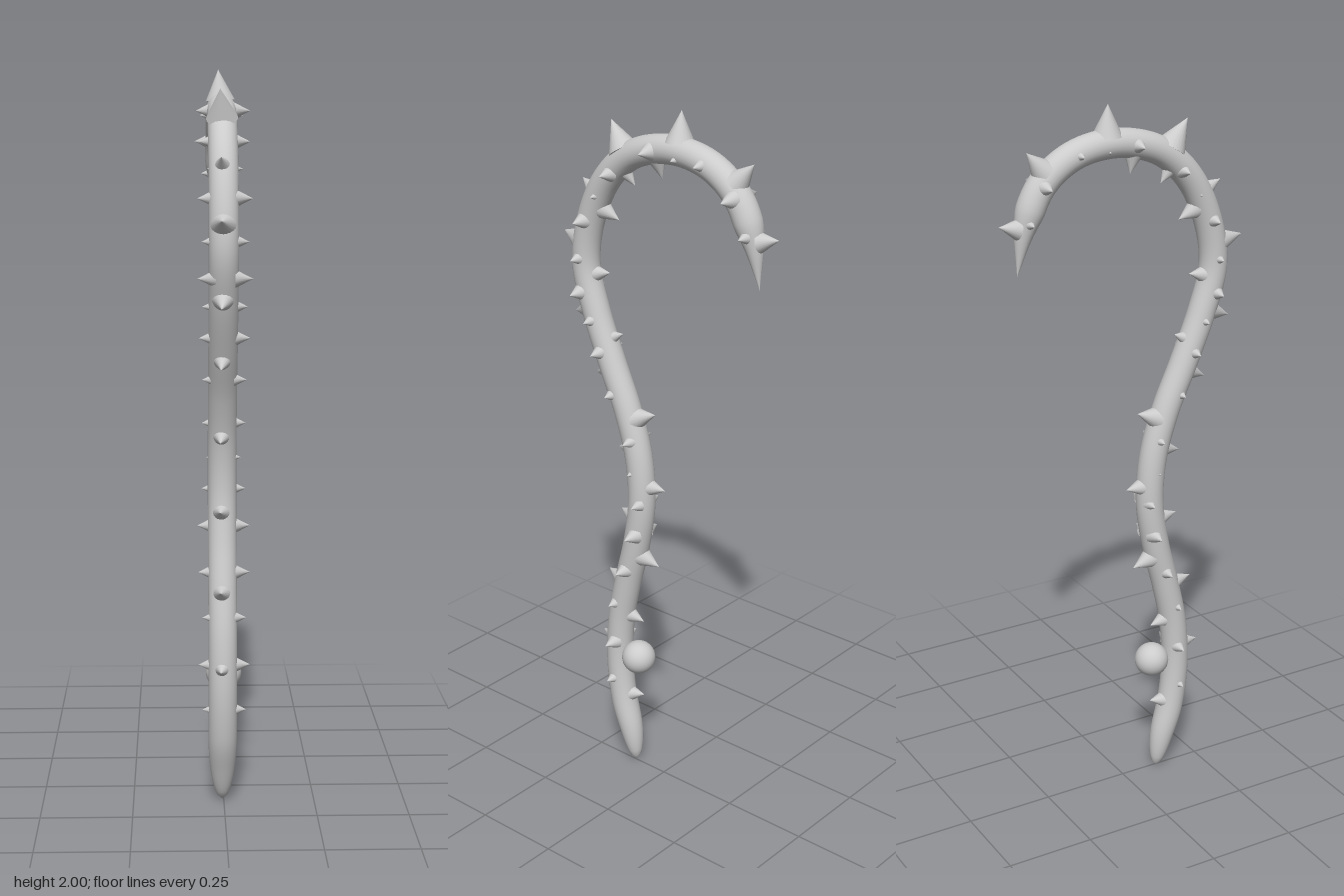
import * as THREE from 'three';
import { mergeVertices } from 'three/addons/utils/BufferGeometryUtils.js';

const R = 0.039; // stem radius
const CX = -0.004; // stem lies in the plane x = CX

// stem centreline as [z, y]
const PATH = [
  [0.11, 0], [0.13, 0.1], [0.158, 0.2], [0.173, 0.33], [0.165, 0.47], [0.138, 0.6], [0.105, 0.73],
  [0.085, 0.865], [0.095, 1.0], [0.133, 1.13], [0.19, 1.26], [0.247, 1.4], [0.281, 1.53],
  [0.26, 1.66], [0.2, 1.78], [0.11, 1.86], [-0.02, 1.895], [-0.15, 1.875], [-0.24, 1.81],
  [-0.288, 1.71], [-0.315, 1.58],
];

// tips of the thorns lying in the plane of the crook, as [z, y]
const PLANE_TIPS = [
  // outer side
  [0.243, 0.397], [0.217, 0.61], [0.168, 0.82], [0.175, 1.01], [0.255, 1.215], [0.33, 1.38],
  [0.367, 1.605], [0.295, 1.765], [0.19, 1.94], [-0.05, 2.0], [-0.285, 1.9], [-0.367, 1.72],
  // inner side
  [0.085, 0.23], [0.085, 0.477], [0.027, 0.675], [0.005, 0.92], [0.04, 1.14], [0.155, 1.35],
  [0.2, 1.515], [0.165, 1.67], [0.108, 1.775], [0.015, 1.81], [-0.185, 1.82],
];

// sideways thorns, mirrored left and right, as [z, y, reach]
const SIDE_TIPS = [
  [0.17, 0.275, 0.06], [0.165, 0.4, 0.07], [0.16, 0.53, 0.06], [0.123, 0.648, 0.07], [0.086, 0.77, 0.072],
  [0.07, 0.87, 0.06], [0.095, 0.96, 0.047], [0.1, 1.055, 0.06], [0.165, 1.18, 0.06], [0.207, 1.295, 0.068],
  [0.238, 1.38, 0.06], [0.275, 1.455, 0.072], [0.28, 1.55, 0.062], [0.26, 1.66, 0.072], [0.217, 1.735, 0.047],
  [0.165, 1.805, 0.068], [0.025, 1.888, 0.073], [-0.06, 1.88, 0.047], [-0.145, 1.88, 0.06],
  [-0.245, 1.81, 0.073], [-0.288, 1.72, 0.055],
];

const material = new THREE.MeshStandardMaterial({ color: 0xcccccc });

// tube whose ends close: rounded at the foot, pointed at the tip of the crook
function stemGeometry(curve) {
  const segments = 160, sides = 24, length = curve.getLength();
  const geo = new THREE.TubeGeometry(curve, segments, R, sides, false);
  const pos = geo.attributes.position, v = new THREE.Vector3();
  for (let i = 0; i <= segments; i++) {
    const s = (i / segments) * length;
    const foot = Math.sqrt(1 - Math.max(0, 1 - s / 0.2) ** 2);
    const tip = Math.min(1, (length - s) / 0.17);
    const scale = Math.max(0.002, foot * tip);
    const centre = curve.getPointAt(i / segments);
    for (let j = 0; j <= sides; j++) {
      const k = i * (sides + 1) + j;
      v.fromBufferAttribute(pos, k).sub(centre).multiplyScalar(scale).add(centre);
      pos.setXYZ(k, v.x, v.y, v.z);
    }
  }
  geo.deleteAttribute('uv');
  geo.deleteAttribute('normal');
  const merged = mergeVertices(geo, 1e-5);
  merged.computeVertexNormals();
  return merged;
}

// cone from a base point to its tip
function thorn(base, tip, radius, name) {
  const dir = tip.clone().sub(base);
  const mesh = new THREE.Mesh(new THREE.ConeGeometry(radius, dir.length(), 20), material);
  mesh.position.copy(base).add(tip).multiplyScalar(0.5);
  mesh.quaternion.setFromUnitVectors(new THREE.Vector3(0, 1, 0), dir.normalize());
  mesh.name = name;
  return mesh;
}

export function createModel() {
  const model = new THREE.Group();
  model.name = 'thornyCrook';
  const curve = new THREE.CatmullRomCurve3(PATH.map(([z, y]) => new THREE.Vector3(CX, y, z)), false, 'centripetal');

  const stem = new THREE.Mesh(stemGeometry(curve), material);
  stem.name = 'stem';
  model.add(stem);

  // thorns in the plane, each growing square from the nearest point of the stem
  const planeThorns = new THREE.Group();
  planeThorns.name = 'planeThorns';
  const samples = curve.getSpacedPoints(400);
  for (const [z, y] of PLANE_TIPS) {
    const tip = new THREE.Vector3(-0.011, y, z);
    const root = samples.reduce((a, b) => (a.distanceToSquared(tip) < b.distanceToSquared(tip) ? a : b));
    const dir = tip.clone().sub(root);
    const reach = dir.length();
    const base = root.clone().addScaledVector(dir.normalize(), 0.022);
    planeThorns.add(thorn(base, tip, (reach - 0.022) * 0.48, 'planeThorn'));
  }
  model.add(planeThorns);

  // mirrored pairs of sideways thorns
  const sideThorns = new THREE.Group();
  sideThorns.name = 'sideThorns';
  for (const [z, y, reach] of SIDE_TIPS) {
    for (const side of [-1, 1]) {
      const base = new THREE.Vector3(side * 0.025, y, z);
      const tip = new THREE.Vector3(side * reach, y, z);
      sideThorns.add(thorn(base, tip, (reach - 0.025) * 0.52, 'sideThorn'));
    }
  }
  model.add(sideThorns);

  // round knob near the foot
  const knob = new THREE.Mesh(new THREE.SphereGeometry(0.049, 32, 20), material);
  knob.name = 'knob';
  knob.position.set(0, 0.36, 0.097);
  model.add(knob);

  return model;
}
